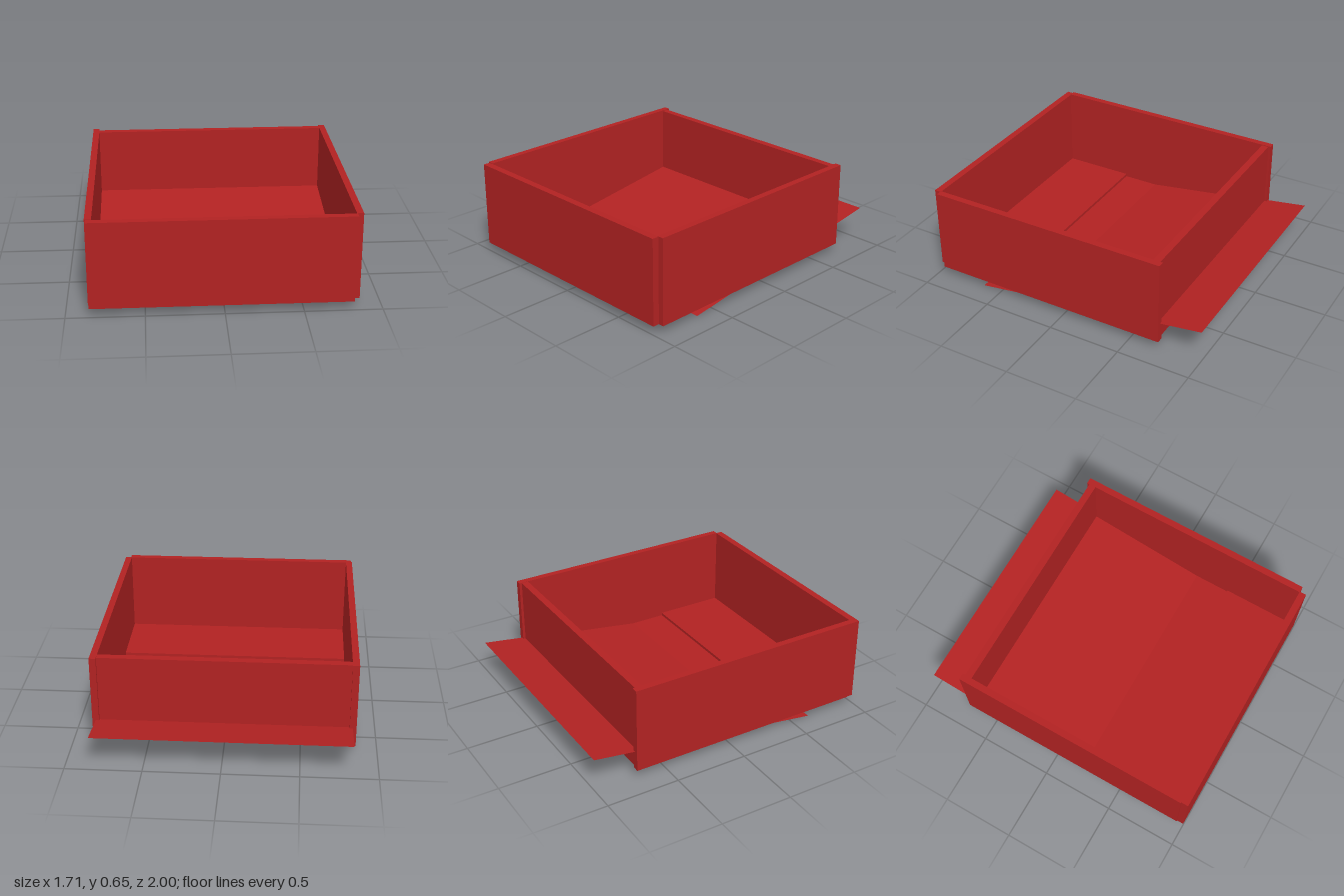
import * as THREE from 'three';

export function createModel() {
  const group = new THREE.Group();
  group.name = 'drawer';

  const red = new THREE.MeshStandardMaterial({ color: 0xb22222, side: THREE.DoubleSide });
  red.name = 'red';

  // Board given by its lower and upper limits on each axis
  function board(name, [x0, x1], [y0, y1], [z0, z1]) {
    const mesh = new THREE.Mesh(new THREE.BoxGeometry(x1 - x0, y1 - y0, z1 - z0), red);
    mesh.position.set((x0 + x1) / 2, (y0 + y1) / 2, (z0 + z1) / 2);
    mesh.name = name;
    group.add(mesh);
  }

  // Four walls, slightly out of line at the corners
  board('rightWall', [-0.857, -0.813], [0.062, 0.648], [-0.712, 0.953]);
  board('leftWall', [0.811, 0.855], [0.06, 0.645], [-0.712, 0.955]);
  board('frontWall', [-0.85, 0.817], [0.06, 0.643], [0.953, 1]);
  board('backWall', [-0.813, 0.811], [0.056, 0.643], [-0.694, -0.646]);

  // Flat floor sheet with a raised strip along the front
  board('floor', [-0.813, 0.811], [0.059, 0.062], [-0.646, 0.953]);
  board('frontFloorStrip', [-0.813, 0.811], [0.062, 0.082], [0.46, 0.953]);

  // Loose sheet sloping up through the floor and out of the back wall
  const back = { y: 0.235, z: -1 }, front = { y: 0, z: 0.64 };
  const rise = back.y - front.y, run = front.z - back.z;
  const sheet = new THREE.Mesh(new THREE.PlaneGeometry(1.666, Math.hypot(rise, run)), red);
  sheet.rotation.x = -Math.PI / 2 + Math.atan2(rise, run);
  sheet.position.set(0, (back.y + front.y) / 2, (back.z + front.z) / 2);
  sheet.name = 'slopingSheet';
  group.add(sheet);

  return group;
}
